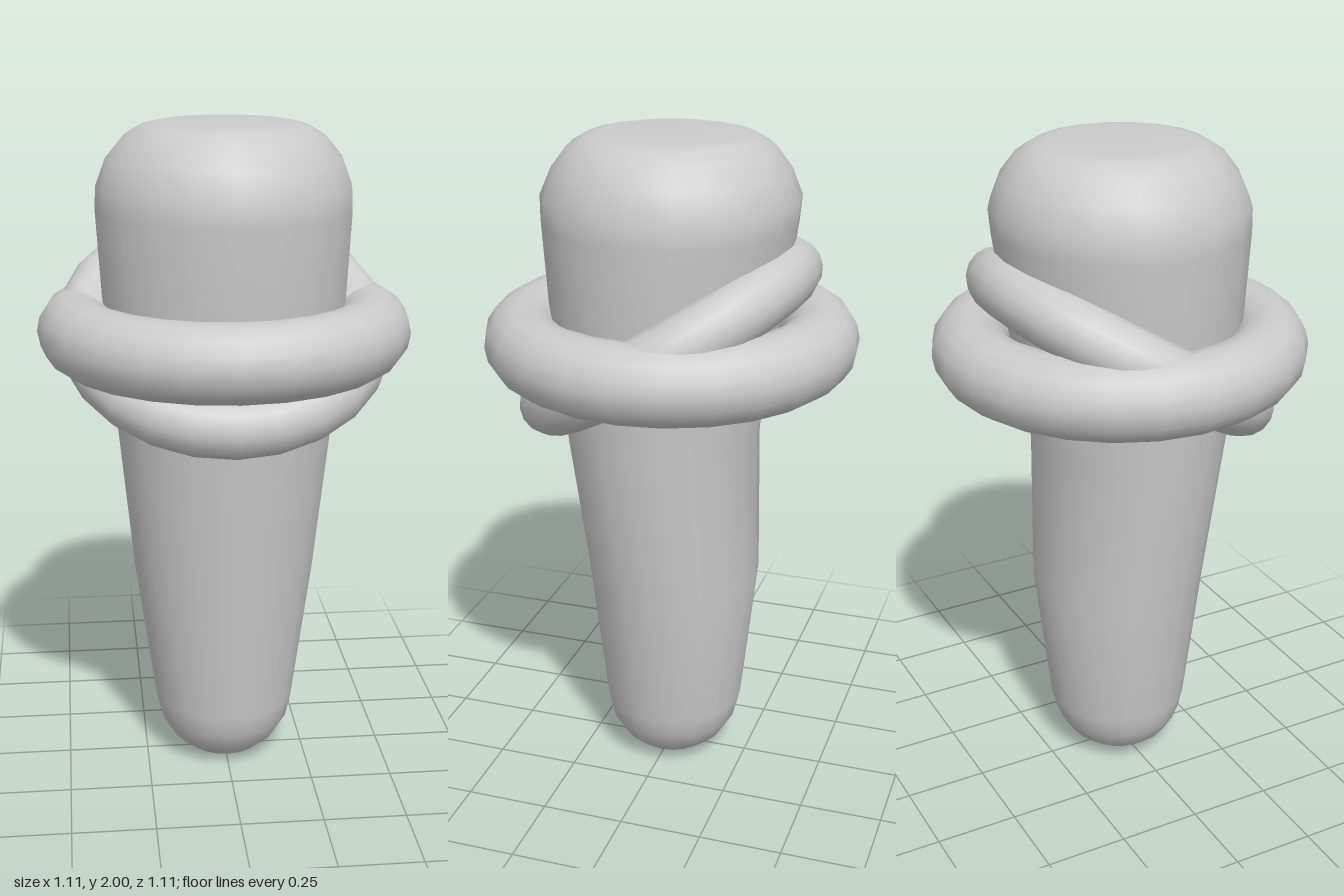
import * as THREE from 'three';
import { mergeVertices } from 'three/addons/utils/BufferGeometryUtils.js';

// Body sections: height, half width in x, front z, back z
const SECTIONS = [
  [0, 0, 0, 0],
  [0.002, 0.06, 0.055, -0.065],
  [0.02, 0.115, 0.11, -0.12],
  [0.06, 0.165, 0.155, -0.17],
  [0.12, 0.202, 0.19, -0.207],
  [0.19, 0.218, 0.206, -0.226],
  [0.64, 0.28, 0.255, -0.274],
  [1.1, 0.325, 0.316, -0.265],
  [1.5, 0.363, 0.362, -0.335],
  [1.75, 0.378, 0.379, -0.37],
  [1.82, 0.375, 0.38, -0.377],
  [1.9, 0.345, 0.345, -0.345],
  [1.96, 0.295, 0.3, -0.3],
  [1.99, 0.245, 0.25, -0.25],
  [2, 0.2, 0.2, -0.2],
  [2, 0, 0, 0],
];

// Lathe whose rows are stretched and shifted in z to follow the sections
function bodyGeometry() {
  const points = SECTIONS.map(([y, r]) => new THREE.Vector2(r, y));
  const lathe = new THREE.LatheGeometry(points, 20);
  const pos = lathe.attributes.position;
  for (let i = 0; i < pos.count; i++) {
    const [, r, front, back] = SECTIONS[i % SECTIONS.length];
    const s = r > 0 ? pos.getZ(i) / r : 0;
    pos.setZ(i, (front + back) / 2 + s * (front - back) / 2);
  }
  lathe.deleteAttribute('normal');
  lathe.deleteAttribute('uv');
  const merged = mergeVertices(lathe, 1e-4);
  merged.computeVertexNormals();
  return merged;
}

export function createModel() {
  const group = new THREE.Group();
  const material = new THREE.MeshStandardMaterial({ color: 0xcccccc });
  const add = (name, geometry) => {
    const mesh = new THREE.Mesh(geometry, material);
    mesh.name = name;
    group.add(mesh);
    return mesh;
  };
  const ring = (name, radius, tube, tilt, y, z) => {
    const geometry = new THREE.TorusGeometry(radius, tube, 16, 24).rotateX(Math.PI / 2);
    const mesh = add(name, geometry);
    mesh.rotation.x = tilt;
    mesh.position.set(0, y, z);
  };

  // Tapered rounded body
  add('body', bodyGeometry());

  // Level ring and the thinner one crossing it, low at the front
  ring('levelRing', 0.442, 0.115, 0, 1.395, 0);
  ring('tiltedRing', 0.412, 0.09, 0.54, 1.398, 0.006);

  return group;
}
